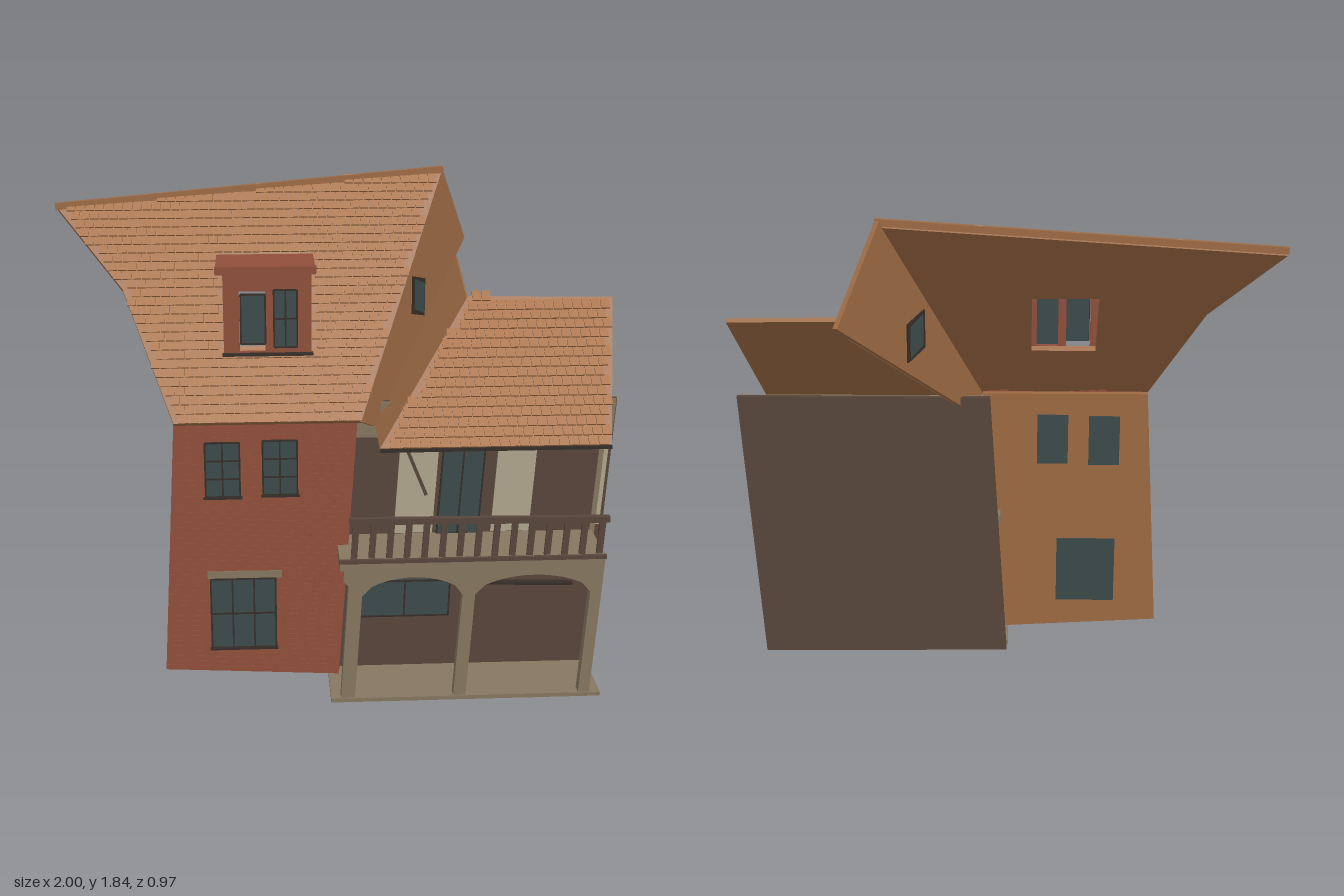
import * as THREE from 'three';
import { mergeGeometries } from 'three/addons/utils/BufferGeometryUtils.js';

const V = (x, y, z) => new THREE.Vector3(x, y, z);
const LEAN = 0.06; // the whole facade leans to the side as it rises

function paint(name, color) {
  const m = new THREE.MeshStandardMaterial({ color });
  m.name = name;
  return m;
}

// Local frame of a flat polygon: u along its first edge, n out of its face
function frameOf(pts) {
  const u = pts[1].clone().sub(pts[0]).normalize();
  const n = u.clone().cross(pts[pts.length - 1].clone().sub(pts[0])).normalize();
  return new THREE.Matrix4().makeBasis(u, n.clone().cross(u), n).setPosition(pts[0]);
}

function flatten(pts, frame) {
  const inv = frame.clone().invert();
  return pts.map(p => p.clone().applyMatrix4(inv)).map(p => new THREE.Vector2(p.x, p.y));
}

// Upright quad with a leaning left and right side
function rect(x0, y0, x1, y1, z, lean = LEAN) {
  const s = lean * (y1 - y0);
  return [V(x0, y0, z), V(x1, y0, z), V(x1 + s, y1, z), V(x0 + s, y1, z)];
}

function inside(x, y, poly) {
  let hit = false;
  poly.forEach((a, i) => {
    const b = poly[(i + 1) % poly.length];
    if ((a.y > y) !== (b.y > y) && x < (b.x - a.x) * (y - a.y) / (b.y - a.y) + a.x) hit = !hit;
  });
  return hit;
}

export function createModel() {
  const root = new THREE.Group();
  root.name = 'townhouseFacade';
  const wood = paint('roof wood', 0x9c6a43);
  const tile = paint('roof tile', 0xa87146);
  const brick = paint('red brick', 0x8f4e3a);
  const dark = paint('dark timber', 0x57453b);
  const stone = paint('pale timber', 0x85765f);
  const cream = paint('cream plaster', 0xaea58c);
  const glass = paint('teal glass', 0x3c4a4a);
  const frameMat = paint('dark frame', 0x352d29);

  function add(name, geo, mat) {
    const m = new THREE.Mesh(geo, mat);
    m.name = name;
    root.add(m);
    return m;
  }

  // Flat slab: polygon is the outer face, thickness goes inward
  function plate(name, mat, pts, t, holes = []) {
    const f = frameOf(pts);
    const shape = new THREE.Shape(flatten(pts, f));
    holes.forEach(h => shape.holes.push(new THREE.Path(flatten(h, f))));
    const geo = new THREE.ExtrudeGeometry(shape, { depth: t, bevelEnabled: false });
    return add(name, geo.translate(0, 0, -t).applyMatrix4(f), mat);
  }

  function box(name, mat, x0, y0, z0, x1, y1, z1) {
    const g = new THREE.BoxGeometry(x1 - x0, y1 - y0, z1 - z0);
    return add(name, g.translate((x0 + x1) / 2, (y0 + y1) / 2, (z0 + z1) / 2), mat);
  }

  function beam(name, mat, a, b, w, h) {
    const m = add(name, new THREE.BoxGeometry(w, h, a.distanceTo(b)), mat);
    m.position.copy(a).lerp(b, 0.5);
    m.lookAt(b);
    return m;
  }

  // Staggered courses of small pieces over a polygon
  function courses(name, mat, pts, holes, w, h, t, tilt, fill, overlap) {
    const f = frameOf(pts), poly = flatten(pts, f), cuts = holes.map(q => flatten(q, f));
    const bounds = new THREE.Box2().setFromPoints(poly), list = [];
    for (let r = 0, y = bounds.min.y + h / 2; y < bounds.max.y; r++, y += h)
      for (let x = bounds.min.x + (r % 2 ? w : w / 2); x < bounds.max.x; x += w) {
        if (![-0.45, 0.45].every(k => inside(x + k * w, y, poly))) continue;
        if (cuts.some(c => [-0.5, 0.5].some(k => inside(x + k * w, y, c)))) continue;
        list.push(new THREE.BoxGeometry(w * fill, h * overlap, t).rotateX(-tilt).translate(x, y, t / 2));
      }
    add(name, mergeGeometries(list).applyMatrix4(f), mat);
  }

  // Glazing with a thin frame and bars on its front
  function glazing(name, x0, y0, x1, y1, z, t, cols, rows, lean) {
    plate(name + 'Glass', glass, rect(x0, y0, x1, y1, z, lean), t);
    const w = 0.006, s = lean * (y1 - y0);
    for (let i = 0; i <= cols; i++) {
      const x = x0 + (x1 - x0) * i / cols;
      beam(name + 'Bar', frameMat, V(x, y0, z), V(x + s, y1, z), w, w);
    }
    for (let j = 0; j <= rows; j++) {
      const k = j / rows, y = y0 + (y1 - y0) * k;
      beam(name + 'Bar', frameMat, V(x0 + s * k, y, z), V(x1 + s * k, y, z), w, w);
    }
  }

  // Main roof slope with an opening behind the dormer
  const onRoof = (x, y) => V(x, y, 0.36 - (y - 1.06) / 1.3);
  const roof = [onRoof(-0.57, 1.06), onRoof(0.075, 1.06), onRoof(0.41, 1.83), onRoof(-0.99, 1.72), onRoof(-0.75, 1.46)];
  const opening = [onRoof(-0.36, 1.285), onRoof(-0.12, 1.285), onRoof(-0.12, 1.53), onRoof(-0.36, 1.53)];
  plate('mainRoof', wood, roof, 0.022, [opening]);
  const dormerArea = [onRoof(-0.39, 1.265), onRoof(-0.1, 1.265), onRoof(-0.1, 1.56), onRoof(-0.39, 1.56)];
  courses('mainRoofTiles', tile, roof, [dormerArea], 0.034, 0.034, 0.006, 0.16, 0.88, 1.15);
  beam('ridgeBeam', wood, onRoof(-0.995, 1.722), onRoof(0.412, 1.832), 0.022, 0.024);

  // Upright gable wall turned away from the front
  const onGable = (x, y) => V(x, y, 0.36 - (x - 0.075) * 1.83);
  plate('gableWall', wood, [onGable(0.075, 1.055), onGable(0.13, 1.005), onGable(0.535, 1.53), onGable(0.41, 1.84)], 0.018);
  const lift = V(0.005, 0, 0.003);
  const pane = (x0, x1, d) => [onGable(x0, 1.34 + d), onGable(x1, 1.31 + d), onGable(x1, 1.45 - d), onGable(x0, 1.48 - d)];
  plate('gableWindowFrame', frameMat, pane(0.283, 0.337, 0).map(p => p.add(lift)), 0.03);
  plate('gableWindowGlass', glass, pane(0.29, 0.33, 0.014).map(p => p.addScaledVector(lift, 1.7)), 0.036);

  // Side roof and the slope joining it to the gable
  const sideRoof = [V(0.13, 0.995, 0.47), V(0.925, 0.995, 0.47), V(0.995, 1.415, 0.07), V(0.475, 1.425, 0.065)];
  plate('sideRoof', wood, sideRoof, 0.018);
  courses('sideRoofTiles', tile, sideRoof, [], 0.034, 0.038, 0.006, 0.16, 0.88, 1.15);
  beam('sideRoofEave', frameMat, V(0.13, 0.988, 0.47), V(0.925, 0.988, 0.47), 0.014, 0.012);
  plate('valleySlope', wood, [V(0.13, 1.01, 0.265), V(0.13, 0.99, 0.47), V(0.47, 1.41, 0.07), V(0.49, 1.475, -0.395)], 0.01);

  // Dormer
  plate('dormerFront', brick, rect(-0.395, 1.262, -0.09, 1.545, 0.212, 0), 0.022,
    [rect(-0.34, 1.272, -0.25, 1.485, 0.212, 0), rect(-0.22, 1.285, -0.14, 1.49, 0.212, 0)]);
  for (const x of [-0.375, -0.095])
    plate('dormerCheek', wood, [V(x, 1.262, 0.2), V(x, 1.545, -0.012), V(x, 1.545, 0.2)], 0.015);
  box('dormerRoof', brick, -0.42, 1.545, -0.03, -0.075, 1.565, 0.225);
  box('dormerRoofEdge', brick, -0.422, 1.552, 0.215, -0.073, 1.575, 0.235);
  box('dormerSill', frameMat, -0.4, 1.257, 0.2, -0.085, 1.267, 0.225);
  glazing('dormerLeftSash', -0.335, 1.3, -0.25, 1.475, 0.217, 0.012, 1, 1, 0);
  glazing('dormerRightSash', -0.22, 1.287, -0.14, 1.49, 0.217, 0.012, 2, 2, 0);

  // Brick wall: brown body with brick facing
  const wallAt = z => [V(-0.63, 0.105, z), V(0, 0.07, z), V(0.065, 1.065, z), V(-0.572, 1.065, z)];
  plate('brickWallBody', wood, wallAt(0.316), 0.028);
  plate('brickFacing', brick, wallAt(0.32), 0.004);
  const wallWindows = [[-0.468, 0.775, -0.348, 0.975, 2, 3], [-0.267, 0.78, -0.147, 0.98, 2, 3], [-0.46, 0.19, -0.228, 0.46, 3, 2]];
  courses('bricks', brick, wallAt(0.32), wallWindows.map(w => rect(w[0], w[1], w[2], w[3], 0.32, 0)), 0.04, 0.02, 0.002, 0, 0.92, 0.85);
  for (const [x0, y0, x1, y1, cols, rows] of wallWindows) {
    glazing('wallWindow', x0, y0, x1, y1, 0.324, 0.04, cols, rows, 0);
    box('wallWindowSill', frameMat, x0 - 0.008, y0 - 0.008, 0.318, x1 + 0.008, y0, 0.331);
  }
  box('windowLintel', stone, -0.47, 0.462, 0.318, -0.205, 0.49, 0.325);

  // Rear wall with timber framing on its front
  plate('rearWall', dark, [V(-0.03, 0.01, 0.21), V(0.94, 0, 0.21), V(1.0, 1.08, 0.21), V(0.035, 1.08, 0.21)], 0.02);
  plate('topRail', stone, rect(0.05, 0.95, 0.988, 1.08, 0.218), 0.008);
  plate('plasterPanel', cream, rect(0.205, 0.58, 0.345, 0.955, 0.217), 0.007);
  plate('plasterPanel', cream, rect(0.56, 0.58, 0.7, 0.95, 0.217), 0.007);
  plate('plasterStrip', cream, rect(0.945, 0.6, 0.96, 0.89, 0.217), 0.007);
  plate('cornerPost', stone, rect(0.925, 0.56, 0.943, 0.95, 0.216), 0.006);
  beam('diagonalBrace', dark, V(0.23, 0.95, 0.218), V(0.32, 0.73, 0.218), 0.025, 0.012);
  glazing('balconyDoor', 0.36, 0.58, 0.51, 0.965, 0.23, 0.022, 2, 1, LEAN);
  glazing('groundWindow', 0.08, 0.255, 0.41, 0.395, 0.23, 0.022, 2, 1, 0.03);
  beam('wallLedge', frameMat, V(0.51, 0.38, 0.222), V(0.87, 0.37, 0.222), 0.024, 0.01);

  // Porch: floor, arched front and balcony deck
  box('porchFloor', stone, -0.035, 0.028, 0.21, 0.94, 0.043, 0.46);
  const arcade = [[0, 0.04], [0.05, 0.04]];
  const arch = (a, b) => {
    for (let i = 0; i <= 12; i++)
      arcade.push([a + (b - a) * i / 12, 0.44 + 0.07 * Math.sqrt(Math.sin(Math.PI * Math.min(i / 12, 1)) + 1e-9)]);
  };
  arch(0.05, 0.405);
  arcade.push([0.405, 0.04], [0.45, 0.04]);
  arch(0.45, 0.86);
  arcade.push([0.86, 0.04], [0.9, 0.04], [0.9, 0.565], [-0.02, 0.565], [-0.02, 0.5], [0, 0.48]);
  plate('archedPorchFront', stone, arcade.map(([x, y]) => V(x + LEAN * (y - 0.04), y, 0.455)), 0.037);
  box('balconyDeck', stone, -0.005, 0.54, 0.225, 0.93, 0.572, 0.457);
  box('deckFrontEdge', dark, -0.008, 0.568, 0.45, 0.934, 0.582, 0.463);
  box('deckBoards', stone, -0.005, 0.572, 0.225, 0.93, 0.582, 0.45);

  // Balcony railing
  beam('handrail', dark, V(0.03, 0.722, 0.443), V(0.94, 0.712, 0.443), 0.022, 0.022);
  const balusters = 15;
  for (let i = 0; i < balusters; i++) {
    const x = 0.045 + 0.865 * i / (balusters - 1);
    plate('baluster', dark, rect(x - 0.011, 0.58, x + 0.011, 0.712, 0.448), 0.01);
  }
  return root;
}
